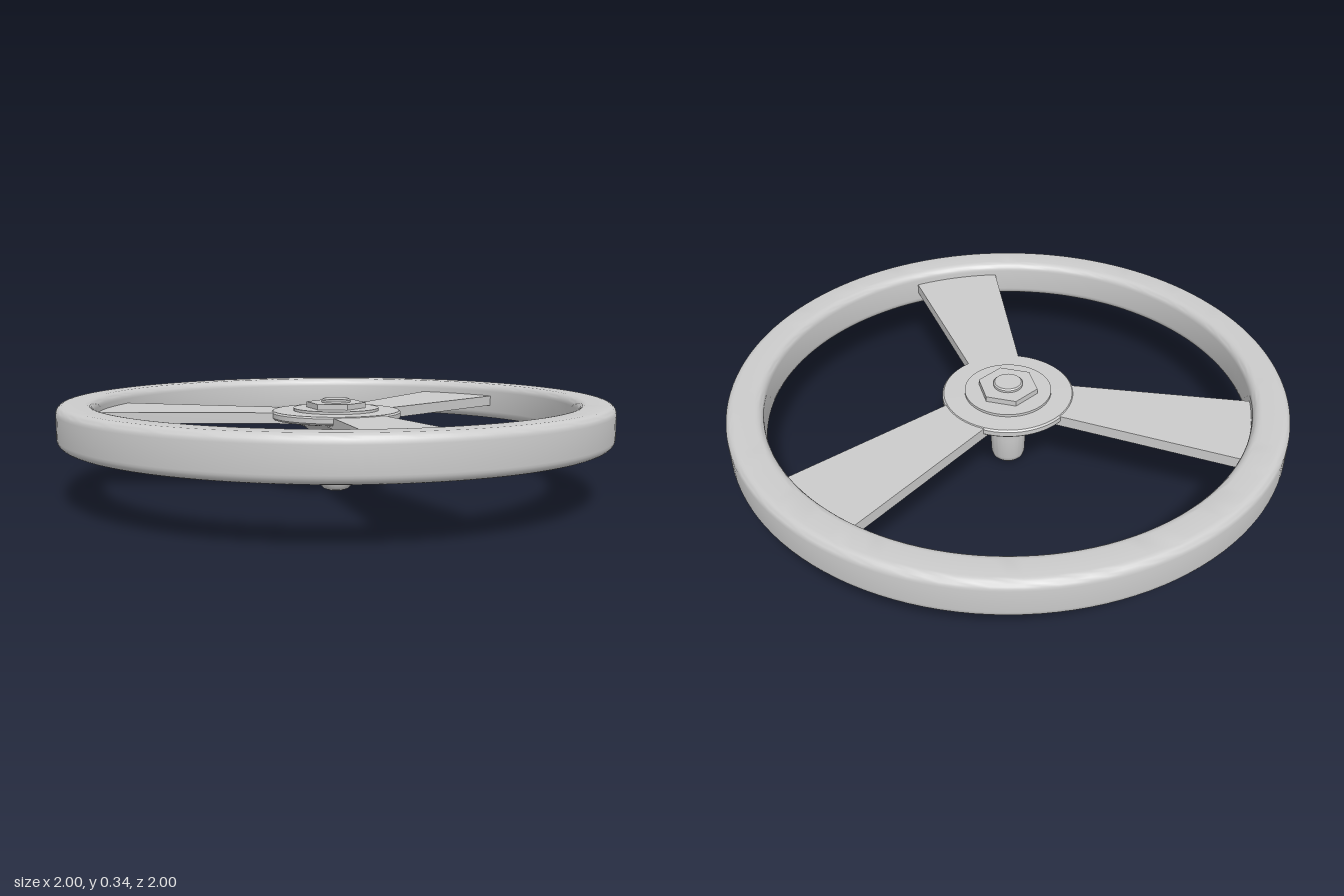
import * as THREE from 'three';
import { toCreasedNormals } from 'three/addons/utils/BufferGeometryUtils.js';

const material = new THREE.MeshStandardMaterial({ color: 0xcccccc });

function part(name, geometry, y = 0) {
  const mesh = new THREE.Mesh(geometry, material);
  mesh.name = name;
  mesh.position.y = y;
  return mesh;
}

// Turned solid from [radius, height] pairs, running counter-clockwise
function turned(points, segments) {
  const profile = points.map(([r, y]) => new THREE.Vector2(r, y));
  return toCreasedNormals(new THREE.LatheGeometry(profile, segments), 0.6);
}

// Rounded rectangle cross-section as [radius, height] pairs
function roundedSection(r0, r1, y0, y1, c, steps = 6) {
  const corners = [[r1 - c, y0 + c], [r1 - c, y1 - c], [r0 + c, y1 - c], [r0 + c, y0 + c]];
  const points = [];
  corners.forEach(([r, y], i) => {
    for (let k = 0; k <= steps; k++) {
      const a = (i - 1 + k / steps) * Math.PI / 2;
      points.push([r + c * Math.cos(a), y + c * Math.sin(a)]);
    }
  });
  points.push(points[0]);
  return points;
}

export function createModel() {
  const wheel = new THREE.Group();
  wheel.name = 'handwheel';

  // Rim
  wheel.add(part('rim', turned(roundedSection(0.87, 1, 0.2, 0.345, 0.03), 128)));

  // Hub: rounded shaft end, flare and flat disc in one profile
  wheel.add(part('hub', turned([
    [0, 0], [0.03, 0.002], [0.046, 0.008], [0.057, 0.019], [0.062, 0.035],
    [0.066, 0.12], [0.067, 0.16], [0.071, 0.185], [0.08, 0.206], [0.097, 0.227],
    [0.125, 0.245], [0.165, 0.258], [0.21, 0.266], [0.232, 0.27],
    [0.239, 0.277], [0.239, 0.294], [0.233, 0.3], [0, 0.302],
  ], 64)));

  // Three flat spokes widening toward the rim
  const outline = new THREE.Shape([
    new THREE.Vector2(-0.085, 0.1), new THREE.Vector2(0.085, 0.1),
    new THREE.Vector2(0.174, 0.89), new THREE.Vector2(-0.174, 0.89),
  ]);
  const spokeGeometry = new THREE.ExtrudeGeometry(outline, { depth: 0.04, bevelEnabled: false });
  spokeGeometry.rotateX(-Math.PI / 2);
  for (let i = 0; i < 3; i++) {
    const spoke = part('spoke', spokeGeometry, 0.257);
    spoke.rotation.y = i * Math.PI * 2 / 3;
    wheel.add(spoke);
  }

  // Washer, hexagonal nut with chamfered top, and bolt end
  wheel.add(part('washer', new THREE.CylinderGeometry(0.157, 0.157, 0.012, 64), 0.304));
  const nut = new THREE.CylinderGeometry(0.11, 0.11, 0.022, 6);
  wheel.add(part('nut', toCreasedNormals(nut, 0.5), 0.319));
  wheel.add(part('boltEnd', turned(
    [[0.053, 0.32], [0.053, 0.338], [0.048, 0.343], [0, 0.343]], 32)));

  return wheel;
}
